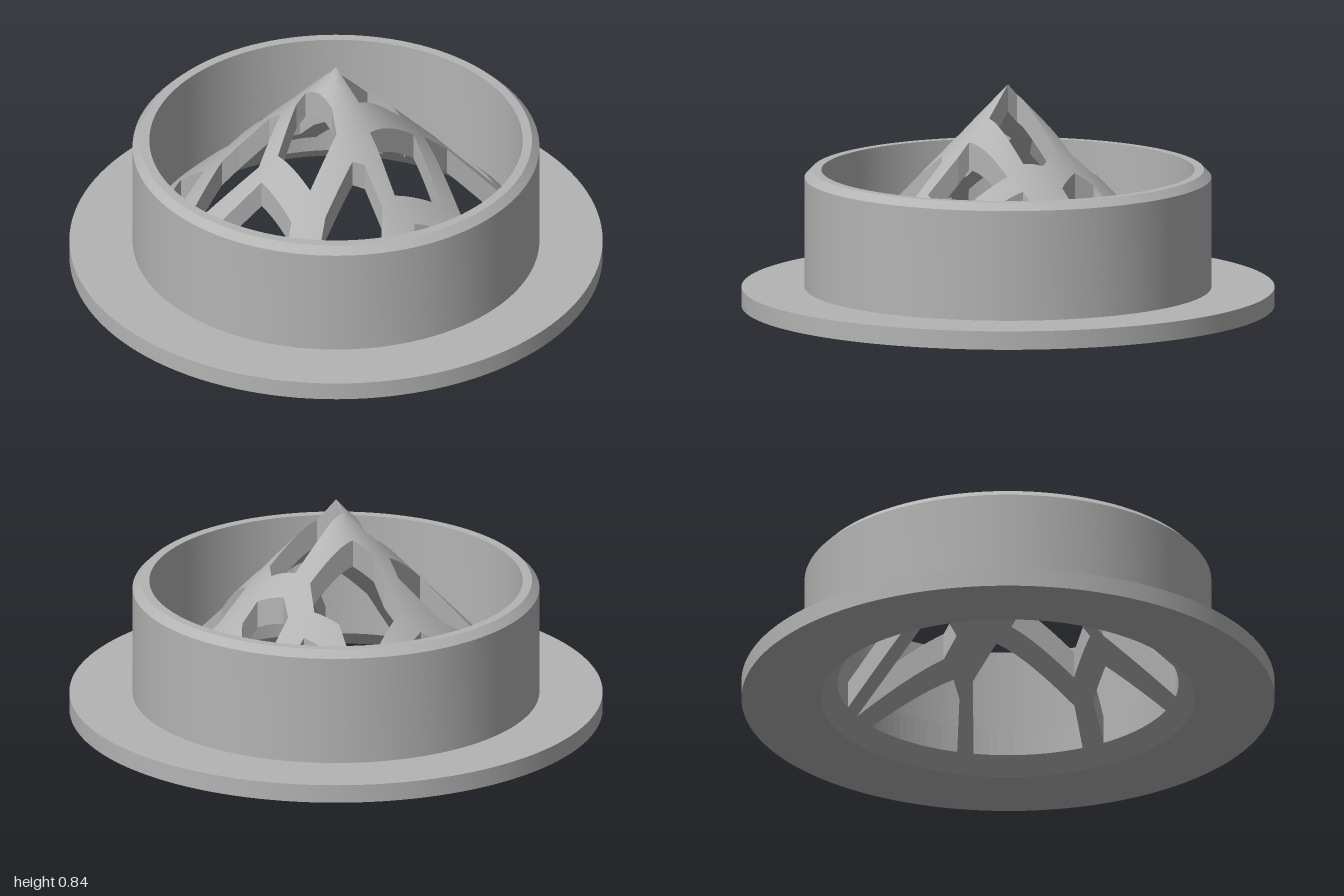
import * as THREE from 'three';
import { toCreasedNormals } from 'three/addons/utils/BufferGeometryUtils.js';

const SEGMENTS = 128;
const RIM = 0.7;          // radius where the cone meets the wall
const HOLE_LIMIT = 0.64;  // openings stop at this radius
const SLOPE = 1.05;
const TOP = 0.84, UNDER = 0.735; // apex heights of the outer and inner cone
const STEP = 0.04;        // longest edge allowed on the cone

// Plan outlines of the openings, [x, z]; neighbours on the limit are joined by an arc
const OPENINGS = [
  [[0.008, -0.04], [0.22, -0.04], [0.25, 0.07], [0.21, 0.135], [0.008, 0.11], [0, 0]],
  [[-0.07, -0.33], [0.13, -0.42], [0.22, -0.38], [0.2, -0.29], [0.25, -0.2], [0.21, -0.12], [0.01, -0.12], [-0.05, -0.17], [-0.04, -0.25]],
  [[-0.27, -0.05], [-0.11, -0.1], [-0.07, -0.09], [-0.09, 0.06], [-0.13, 0.12], [-0.3, 0.14]],
  [[-0.52, -0.32], [-0.25, -0.35], [-0.2, -0.31], [-0.12, -0.23], [-0.13, -0.16], [-0.31, -0.11]],
  [[-0.49, -0.42], [-0.25, -0.44], [-0.19, -0.61]],
  [[-0.07, -0.635], [-0.14, -0.42], [-0.1, -0.4], [0.12, -0.5], [0.17, -0.62]],
  [[0.25, -0.59], [0.2, -0.45], [0.31, -0.38], [0.29, -0.3], [0.32, -0.23], [0.575, -0.28]],
  [[0.6, -0.2], [0.32, -0.13], [0.29, -0.06], [0.33, 0.05], [0.4, 0.05]],
  [[0.636, -0.1], [0.43, 0.13], [0.46, 0.19], [0.58, 0.29]],
  [[0.54, 0.34], [0.4, 0.2], [0.27, 0.2], [0.16, 0.5], [0.22, 0.6]],
  [[-0.02, 0.19], [0.2, 0.21], [0.1, 0.44], [-0.07, 0.36], [-0.03, 0.24]],
  [[-0.34, 0.52], [-0.14, 0.36], [-0.11, 0.245], [-0.14, 0.21], [-0.32, 0.235], [-0.54, 0.35]],
  [[-0.235, 0.595], [-0.06, 0.45], [0.08, 0.52], [0.13, 0.61]],
  [[-0.6, -0.235], [-0.35, -0.06], [-0.4, 0.135], [-0.595, 0.24]],
];

// Turn an opening into a counter-clockwise outline with its outer arc filled in
function outline(points) {
  const out = [];
  const onLimit = (p) => Math.hypot(p[0], p[1]) > 0.615;
  points.forEach((p, i) => {
    const q = points[(i + 1) % points.length];
    const v = new THREE.Vector2(...p);
    if (onLimit(p)) v.setLength(HOLE_LIMIT);
    out.push(v);
    if (onLimit(p) && onLimit(q)) {
      const a = Math.atan2(p[1], p[0]);
      let d = Math.atan2(q[1], q[0]) - a;
      d -= 2 * Math.PI * Math.round(d / (2 * Math.PI));
      const n = Math.ceil(Math.abs(d) / 0.05);
      for (let k = 1; k < n; k++) {
        const t = a + (d * k) / n;
        out.push(new THREE.Vector2(Math.cos(t), Math.sin(t)).multiplyScalar(HOLE_LIMIT));
      }
    }
  });
  return THREE.ShapeUtils.isClockWise(out) ? out.reverse() : out;
}

const middle = (a, b) => a.clone().add(b).multiplyScalar(0.5);

// Conical lattice shell, with the openings cut straight down
function latticeGeometry() {
  const positions = [], normals = [];
  const lift = (p, apex) => [p.x, apex - SLOPE * p.length(), p.y];

  const coneVertex = (p, apex, sign) => {
    const r = p.length();
    const n = new THREE.Vector3(r ? (SLOPE * p.x) / r : 0, 1, r ? (SLOPE * p.y) / r : 0).normalize();
    positions.push(...lift(p, apex));
    normals.push(n.x * sign, n.y * sign, n.z * sign);
  };

  // Split at the longest edge until the flat triangle follows the cone
  const surface = (a, b, c) => {
    const ab = a.distanceTo(b), bc = b.distanceTo(c), ca = c.distanceTo(a);
    const longest = Math.max(ab, bc, ca);
    if (longest > STEP) {
      // Turn the triangle so that its longest edge comes first
      const [p, q, r] = ab === longest ? [a, b, c] : bc === longest ? [b, c, a] : [c, a, b];
      const m = middle(p, q);
      surface(p, m, r);
      surface(m, q, r);
      return;
    }
    for (const p of [a, b, c]) coneVertex(p, TOP, 1);
    for (const p of [a, c, b]) coneVertex(p, UNDER, -1);
  };

  // Vertical cut face along one side of an opening
  const cutFace = (a, b) => {
    const length = a.distanceTo(b);
    if (length > STEP) {
      const m = middle(a, b);
      cutFace(a, m);
      cutFace(m, b);
      return;
    }
    const aT = lift(a, TOP), aB = lift(a, UNDER), bT = lift(b, TOP), bB = lift(b, UNDER);
    for (const v of [aT, aB, bB, aT, bB, bT]) {
      positions.push(...v);
      normals.push(-(b.y - a.y) / length, 0, (b.x - a.x) / length);
    }
  };

  const rim = Array.from({ length: SEGMENTS }, (_, i) => {
    const t = (i / SEGMENTS) * Math.PI * 2;
    return new THREE.Vector2(Math.cos(t) * RIM, Math.sin(t) * RIM);
  });
  const holes = OPENINGS.map(outline);
  const all = [rim, ...holes].flat();
  for (const [i, j, k] of THREE.ShapeUtils.triangulateShape(rim, holes)) {
    const a = all[i], b = all[j], c = all[k];
    const up = (b.y - a.y) * (c.x - a.x) - (b.x - a.x) * (c.y - a.y);
    if (up > 0) surface(a, b, c);
    else surface(a, c, b);
  }
  for (const hole of holes) hole.forEach((p, i) => cutFace(p, hole[(i + 1) % hole.length]));

  const geometry = new THREE.BufferGeometry();
  geometry.setAttribute('position', new THREE.Float32BufferAttribute(positions, 3));
  geometry.setAttribute('normal', new THREE.Float32BufferAttribute(normals, 3));
  return geometry;
}

export function createModel() {
  const grey = new THREE.MeshStandardMaterial({ color: 0xb4b4b4 });
  grey.name = 'grey';
  const model = new THREE.Group();
  model.name = 'conicalDrainStrainer';

  // Flange and chamfered collar in one turned profile
  const profile = [
    [RIM, 0], [1, 0], [1, 0.07], [0.763, 0.07], [0.763, 0.487],
    [0.735, 0.515], [RIM, 0.515], [RIM, TOP - SLOPE * RIM],
  ].map(([r, y]) => new THREE.Vector2(r, y));
  const collar = new THREE.Mesh(toCreasedNormals(new THREE.LatheGeometry(profile, SEGMENTS), 0.5), grey);
  collar.name = 'flangedCollar';

  const lattice = new THREE.Mesh(latticeGeometry(), grey);
  lattice.name = 'latticeCone';

  model.add(collar, lattice);
  return model;
}
